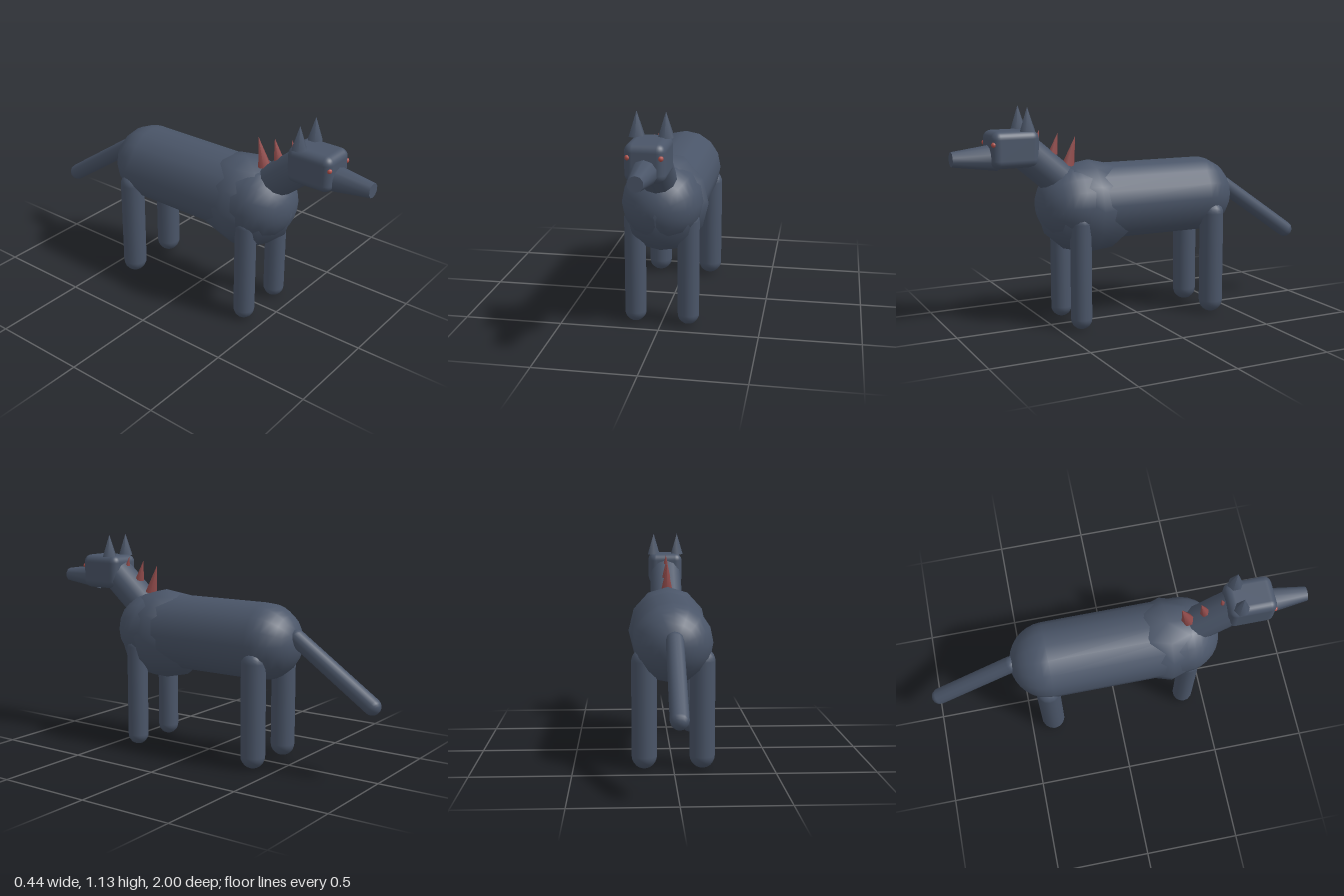
import * as THREE from 'three';
import { RoundedBoxGeometry } from 'three/addons/geometries/RoundedBoxGeometry.js';

const UP = new THREE.Vector3(0, 1, 0);

export function createModel() {
  const model = new THREE.Group();
  const fur = new THREE.MeshStandardMaterial({ name: 'slateFur', color: 0x4a5568 });
  const spikeRed = new THREE.MeshStandardMaterial({ name: 'spikeRed', color: 0x8f4a4a });
  const eyeRed = new THREE.MeshStandardMaterial({ name: 'eyeRed', color: 0xb0504a });

  function add(name, geometry, material, x, y, z) {
    const mesh = new THREE.Mesh(geometry, material);
    mesh.name = name;
    mesh.position.set(x, y, z);
    model.add(mesh);
    return mesh;
  }

  // Places a tapered round part between two [y, z] points on the centre plane
  function between(name, material, a, b, makeGeometry) {
    const from = new THREE.Vector3(0, a[0], a[1]);
    const to = new THREE.Vector3(0, b[0], b[1]);
    const dir = to.clone().sub(from);
    const mid = from.add(to).multiplyScalar(0.5);
    const mesh = add(name, makeGeometry(dir.length()), material, mid.x, mid.y, mid.z);
    mesh.quaternion.setFromUnitVectors(UP, dir.normalize());
    return mesh;
  }

  // Torso and deep chest
  between('body', fur, [0.635, -0.345], [0.635, 0.365],
    (len) => new THREE.CapsuleGeometry(0.2, len, 8, 16));
  add('chest', new THREE.SphereGeometry(1, 8, 6), fur, 0, 0.613, 0.285)
    .scale.set(0.22, 0.243, 0.283);

  // Neck, head and muzzle
  between('neck', fur, [0.74, 0.42], [0.93, 0.645],
    (len) => new THREE.CylinderGeometry(0.09, 0.09, len, 12));
  add('head', new RoundedBoxGeometry(0.19, 0.183, 0.245, 4, 0.04), fur, 0, 0.933, 0.695);
  between('muzzle', fur, [0.894, 0.77], [0.894, 1.0],
    (len) => new THREE.CylinderGeometry(0.037, 0.068, len, 10));

  // Paired parts
  for (const side of [1, -1]) {
    const label = side > 0 ? 'left' : 'right';
    add(label + 'Ear', new THREE.ConeGeometry(0.04, 0.12, 6), fur, side * 0.068, 1.08, 0.633);
    add(label + 'Eye', new THREE.SphereGeometry(0.013, 10, 8), eyeRed, side * 0.075, 0.962, 0.808);
    add(label + 'FrontLeg', new THREE.CapsuleGeometry(0.055, 0.49, 6, 14), fur,
      side * 0.135, 0.305, 0.385);
    add(label + 'HindLeg', new THREE.CapsuleGeometry(0.0635, 0.478, 6, 14), fur,
      side * 0.145, 0.3075, -0.374);
  }

  // Spikes down the back of the neck: base, tip, radius
  const spikes = [
    [[0.83, 0.393], [0.98, 0.352], 0.035],
    [[0.895, 0.475], [1.0, 0.448], 0.026],
    [[0.95, 0.565], [1.018, 0.548], 0.018],
  ];
  spikes.forEach(([base, tip, r], i) => {
    between('neckSpike' + (i + 1), spikeRed, base, tip,
      (len) => new THREE.ConeGeometry(r, len, 6));
  });

  // Drooping tail
  between('tail', fur, [0.67, -0.535], [0.381, -0.956],
    (len) => new THREE.CapsuleGeometry(0.044, len, 6, 12));

  return model;
}
